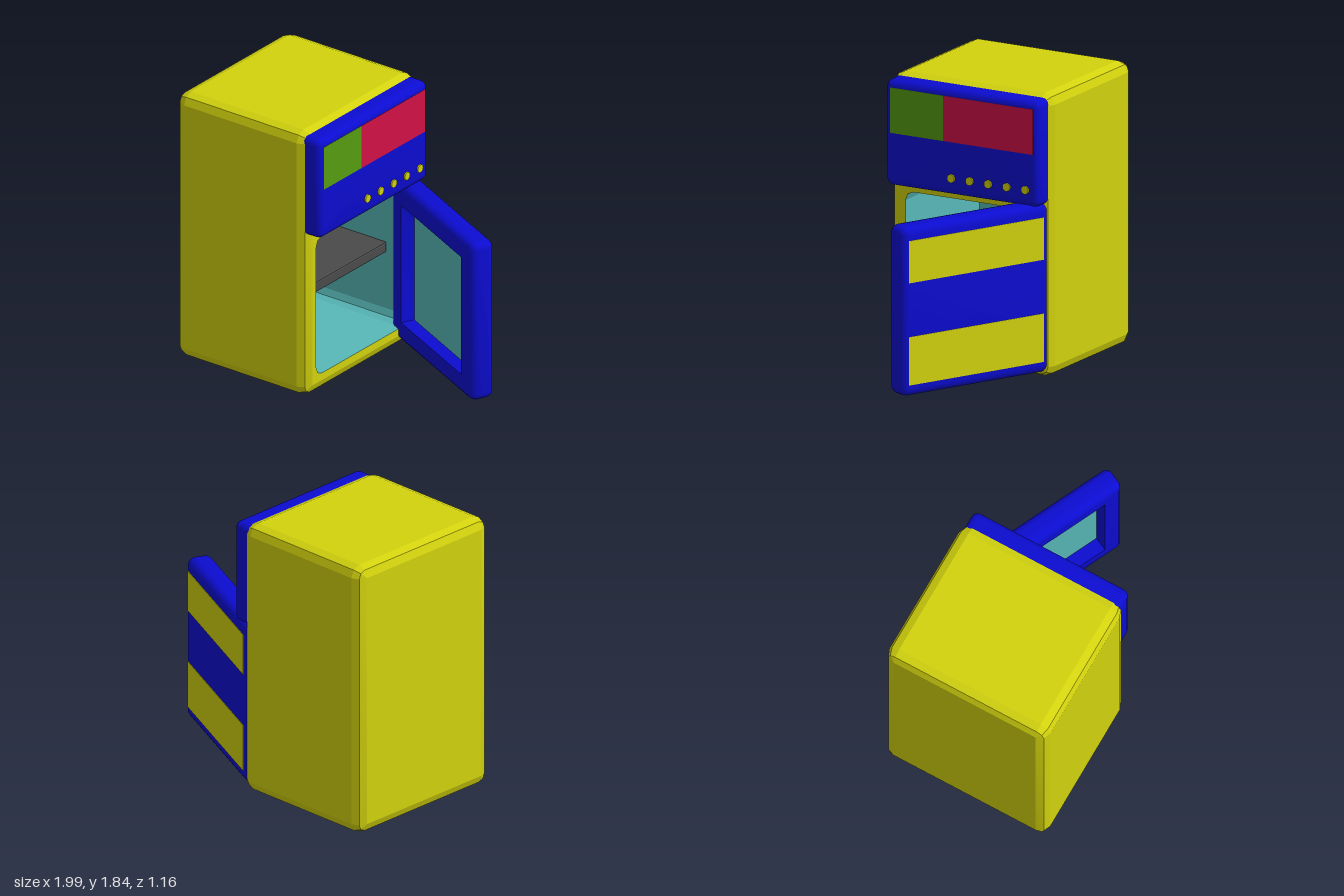
import * as THREE from 'three';
import { toCreasedNormals } from 'three/addons/utils/BufferGeometryUtils.js';

const mat = (color) => new THREE.MeshStandardMaterial({ color });
const yellow = mat(0xd2d20e), blue = mat(0x0c0cd2), teal = mat(0x58b8b8);
const grey = mat(0x4a4a4a), green = mat(0x559c10), red = mat(0xd21046);

// One rounded-rectangle ring, counter-clockwise in XY at depth z
function ring(hw, hh, r, z, seg) {
  const points = [];
  for (let c = 0; c < 4; c++) {
    const sx = c === 0 || c === 3 ? 1 : -1, sy = c < 2 ? 1 : -1;
    for (let i = 0; i <= seg; i++) {
      const a = (c + i / seg) * Math.PI / 2;
      points.push([sx * (hw - r) + r * Math.cos(a), sy * (hh - r) + r * Math.sin(a), z]);
    }
  }
  return points;
}

// Skin between successive rings, with optional flat end caps
function loft(rings, startCap, endCap, crease) {
  const n = rings[0].length, pos = rings.flat(2), index = [];
  for (let k = 0; k < rings.length - 1; k++) {
    for (let j = 0; j < n; j++) {
      const a = k * n + j, b = k * n + (j + 1) % n;
      index.push(a, b, b + n, a, b + n, a + n);
    }
  }
  const cap = (k, flip) => {
    const centre = pos.length / 3;
    pos.push(0, 0, rings[k][0][2]);
    for (let j = 0; j < n; j++) {
      const a = k * n + j, b = k * n + (j + 1) % n;
      if (flip) index.push(centre, b, a);
      else index.push(centre, a, b);
    }
  };
  if (startCap) cap(0, true);
  if (endCap) cap(rings.length - 1, false);
  const geo = new THREE.BufferGeometry();
  geo.setAttribute('position', new THREE.Float32BufferAttribute(pos, 3));
  geo.setIndex(index);
  return toCreasedNormals(geo, crease);
}

// Rings of a box with all edges rounded, from back to front
function roundedRings(hw, hh, hd, r, seg) {
  const rings = [];
  for (const side of [-1, 1]) {
    for (let i = 0; i <= seg; i++) {
      const a = (side < 0 ? 1 - i / seg : i / seg) * Math.PI / 2;
      const inset = r * (1 - Math.cos(a));
      rings.push(ring(hw - inset, hh - inset, Math.max(r - inset, 0.001),
        side * (hd - r + r * Math.sin(a)), seg));
    }
  }
  return rings;
}

function add(parent, name, geo, material, x = 0, y = 0, z = 0) {
  const mesh = new THREE.Mesh(geo, material);
  mesh.name = name;
  mesh.position.set(x, y, z);
  parent.add(mesh);
  return mesh;
}

export function createModel() {
  const model = new THREE.Group();
  model.name = 'refrigerator';

  // Cabinet faces +x: inside this group local z is depth and local x is -z
  const cabinet = new THREE.Group();
  cabinet.name = 'cabinet';
  cabinet.rotation.y = Math.PI / 2;
  model.add(cabinet);

  // Body shell with a hole in its front face
  const bodyRings = roundedRings(0.58, 0.92, 0.515, 0.07, 2);
  bodyRings.push(ring(0.47, 0.48, 0.06, 0.515, 2).map(([x, y, z]) => [x, y - 0.32, z]));
  add(cabinet, 'body', loft(bodyRings, true, false, 0.3), yellow, 0, 0.92, -0.485);

  // Liner of the lower compartment
  const liner = [0.03, -0.88].map((z) => ring(0.47, 0.48, 0.06, z, 2));
  add(cabinet, 'compartmentLiner', loft(liner, false, true, 0.3), teal, 0, 0.6, 0);

  // Shelf
  add(cabinet, 'shelf', loft(roundedRings(0.47, 0.037, 0.375, 0.012, 2), true, true, 0.3),
    grey, 0, 0.612, -0.505);

  // Upper front panel with two coloured fields and a row of buttons
  add(cabinet, 'upperPanel', loft(roundedRings(0.56, 0.345, 0.0825, 0.045, 4), true, true, 0.5),
    blue, 0, 1.475, 0.0475);
  add(cabinet, 'greenField', new THREE.BoxGeometry(0.385, 0.295, 0.01), green, -0.3275, 1.6225, 0.127);
  add(cabinet, 'redField', new THREE.BoxGeometry(0.655, 0.295, 0.01), red, 0.1925, 1.6225, 0.127);
  const button = new THREE.CylinderGeometry(0.027, 0.027, 0.02, 20).rotateX(Math.PI / 2);
  for (let i = 0; i < 5; i++) {
    add(cabinet, 'button', button, yellow, -0.075 + i * 0.135, 1.24, 0.13);
  }

  // Open door: local z is the inner side, local +x the free end
  const door = new THREE.Group();
  door.name = 'door';
  door.position.set(0.474, 0.59, -0.259);
  door.rotation.y = -0.445;
  model.add(door);

  const doorRings = roundedRings(0.555, 0.55, 0.083, 0.05, 4);
  for (const z of [0.083, -0.01]) doorRings.push(ring(0.415, 0.41, 0.001, z, 4));
  add(door, 'doorFrame', loft(doorRings, true, false, 0.5), blue);
  add(door, 'doorInnerPanel', new THREE.BoxGeometry(0.83, 0.82, 0.02), teal, 0, 0, -0.02);

  // Two yellow bands on the outer face of the door
  for (const [low, high] of [[0.115, 0.43], [0.78, 1.055]]) {
    add(door, 'doorBand', new THREE.BoxGeometry(1.02, high - low, 0.01), yellow,
      0, (low + high) / 2 - 0.59, -0.081);
  }
  return model;
}
